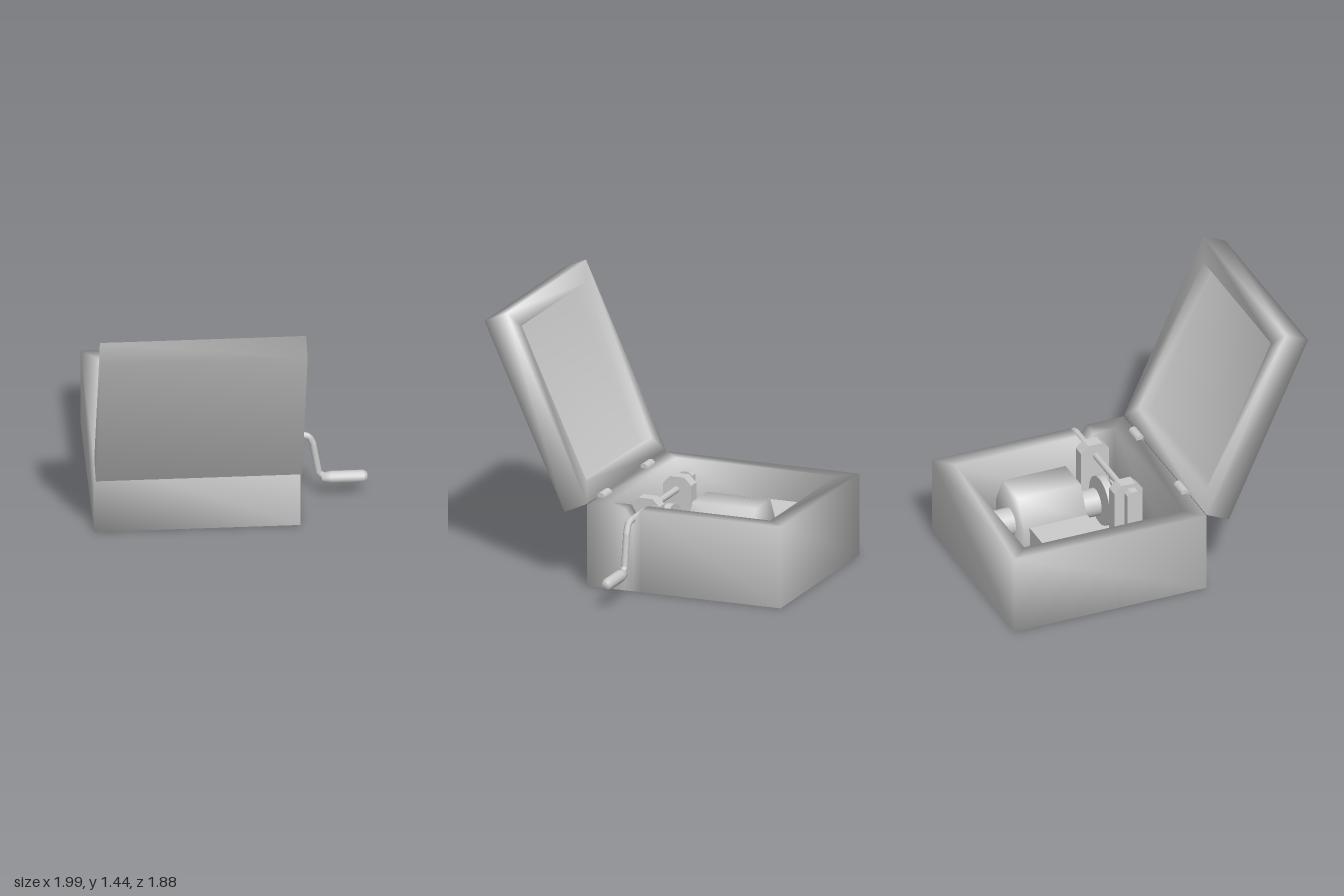
import * as THREE from 'three';

const material = new THREE.MeshStandardMaterial({ color: 0xcccccc, side: THREE.DoubleSide });

function add(parent, name, geometry, x = 0, y = 0, z = 0) {
  const mesh = new THREE.Mesh(geometry, material);
  mesh.name = name;
  mesh.position.set(x, y, z);
  parent.add(mesh);
  return mesh;
}

// Skin between stacked loops of [x, y, z] points, with shared smooth normals.
function loft(rings, { closed = false, startCap = false, endCap = false } = {}) {
  const n = rings[0].length;
  const index = [];
  const last = closed ? rings.length : rings.length - 1;
  for (let k = 0; k < last; k++) {
    const lower = k * n, upper = ((k + 1) % rings.length) * n;
    for (let i = 0; i < n; i++) {
      const j = (i + 1) % n;
      index.push(lower + i, lower + j, upper + i, lower + j, upper + j, upper + i);
    }
  }
  const end = (rings.length - 1) * n;
  for (let i = 1; i < n - 1; i++) {
    if (startCap) index.push(0, i + 1, i);
    if (endCap) index.push(end, end + i, end + i + 1);
  }
  const geometry = new THREE.BufferGeometry();
  geometry.setAttribute('position', new THREE.Float32BufferAttribute(rings.flat(2), 3));
  geometry.setIndex(index);
  geometry.computeVertexNormals();
  return geometry;
}

const rect = (hx, hz, y) => [[hx, y, hz], [hx, y, -hz], [-hx, y, -hz], [-hx, y, hz]];

// Rectangle with three extra points on its -z side, for the shaft notch.
function notchedRect(hx, hz, y, notchY = y) {
  const [a, b, c, d] = rect(hx, hz, y);
  return [a, b, [0.335, y, -hz], [0.29, notchY, -hz], [0.245, y, -hz], c, d];
}

// Upright plate with a chamfered top, standing across the shaft.
function postGeometry(width, height, depth) {
  const h = width / 2, c = width * 0.25;
  const shape = new THREE.Shape([
    [-h, 0], [h, 0], [h, height - c], [h - c, height], [c - h, height], [-h, height - c],
  ].map(([x, y]) => new THREE.Vector2(x, y)));
  return new THREE.ExtrudeGeometry(shape, { depth, bevelEnabled: false }).translate(0, 0, -depth / 2);
}

export function createModel() {
  const model = new THREE.Group();
  model.name = 'handCrankBox';
  const box = new THREE.Group();
  box.name = 'box';
  box.position.set(-0.235, 0, -0.175);
  box.rotation.y = -0.657;
  model.add(box);

  // Case walls, with a V notch for the crank shaft
  add(box, 'caseWalls', loft([
    notchedRect(0.549, 0.542, 0),
    notchedRect(0.549, 0.542, 0.445, 0.375),
    notchedRect(0.455, 0.45, 0.445, 0.375),
    notchedRect(0.455, 0.45, 0.06),
  ], { closed: true }));

  // Floor with an opening under the housing
  const floor = new THREE.Shape([
    [-0.46, -0.455], [0.46, -0.455], [0.46, 0.455], [-0.46, 0.455],
  ].map(([x, y]) => new THREE.Vector2(x, y)));
  floor.holes.push(new THREE.Path([
    [-0.27, -0.03], [-0.27, 0.22], [0.08, 0.22], [0.08, -0.03],
  ].map(([x, y]) => new THREE.Vector2(x, y))));
  const floorGeometry = new THREE.ExtrudeGeometry(floor, { depth: 0.02, bevelEnabled: false });
  add(box, 'floor', floorGeometry.rotateX(-Math.PI / 2), 0, 0.07, 0);

  // Open lid, hollow underneath, swung back on its hinge line
  const lid = new THREE.Group();
  lid.name = 'lid';
  lid.position.set(0.55, 0.448, 0);
  lid.rotation.z = -2.0;
  box.add(lid);
  add(lid, 'lidShell', loft([
    rect(0.445, 0.442, 0.08),
    rect(0.445, 0.442, 0),
    rect(0.546, 0.542, 0),
    rect(0.546, 0.542, 0.14),
  ], { startCap: true, endCap: true }), -0.546, 0, 0);

  // Hinges
  for (const z of [-0.34, 0.25]) {
    const knuckle = new THREE.CylinderGeometry(0.025, 0.025, 0.1, 12).rotateX(Math.PI / 2);
    add(box, 'hinge', knuckle, 0.535, 0.445, z);
  }

  // Housing with sloping shoulders, open below
  add(box, 'housing', loft([
    rect(0.18, 0.19, 0.08),
    rect(0.18, 0.19, 0.26),
    rect(0.18, 0.1, 0.43),
  ], { endCap: true }), -0.1, 0, -0.13);

  // Wind chest and the duct that feeds it
  add(box, 'windChest', new THREE.BoxGeometry(0.33, 0.21, 0.36), -0.085, 0.185, 0.235);
  add(box, 'duct', new THREE.BoxGeometry(0.07, 0.07, 0.34), -0.36, 0.2, 0.08);
  add(box, 'ductElbow', new THREE.BoxGeometry(0.12, 0.07, 0.07), -0.28, 0.2, 0.215);

  // Drum axle and gear wheels
  const discs = [
    ['drum', 0.075, 0.68, -0.13],
    ['gearWheel', 0.135, 0.04, 0.25],
    ['innerGearWheel', 0.1, 0.03, 0.31],
  ];
  for (const [name, radius, length, x] of discs) {
    const disc = new THREE.CylinderGeometry(radius, radius, length, 24).rotateZ(Math.PI / 2);
    add(box, name, disc, x, 0.235, -0.13);
  }

  // Shaft supports, reaching just through the floor
  const posts = [[0.16, 0.07, -0.345], [0.16, 0.07, 0.09], [0.08, 0.045, 0.185]];
  for (const [width, depth, z] of posts) {
    add(box, 'shaftPost', postGeometry(width, 0.4, depth), 0.285, 0.065, z);
  }

  // Crank: shaft, bent arm and grip
  const crank = new THREE.CurvePath();
  const path = [[0.395, 0.2], [0.395, -0.57], [0.385, -0.605], [0.34, -0.625], [0.16, -0.655], [0.13, -0.69]]
    .map(([y, z]) => new THREE.Vector3(0.29, y, z));
  for (let i = 1; i < path.length; i++) crank.add(new THREE.LineCurve3(path[i - 1], path[i]));
  add(box, 'crankShaft', new THREE.TubeGeometry(crank, 80, 0.018, 10));
  const grip = new THREE.LatheGeometry([
    [0, -0.12], [0.022, -0.12], [0.033, -0.1], [0.033, 0.07], [0.025, 0.12], [0, 0.12],
  ].map(([r, y]) => new THREE.Vector2(r, y)), 12);
  add(box, 'crankGrip', grip.rotateX(Math.PI / 2), 0.29, 0.13, -0.79);

  return model;
}
